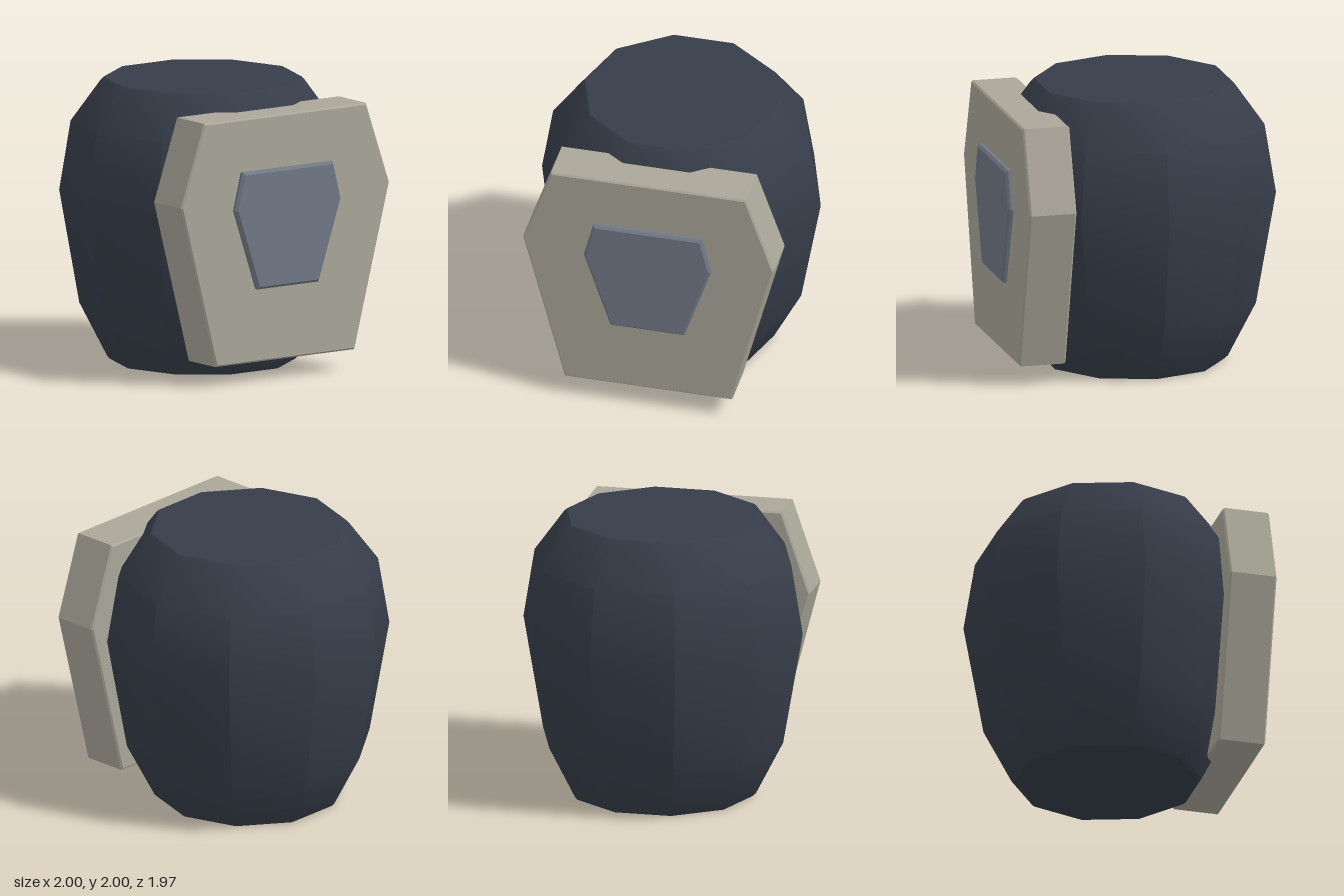
import * as THREE from 'three';
import { toCreasedNormals } from 'three/addons/utils/BufferGeometryUtils.js';

const paint = (name, color) => {
  const m = new THREE.MeshStandardMaterial({ color });
  m.name = name;
  return m;
};

// Bevelled slab with a mirrored outline; half lists [x, y] from top to bottom
function slab(name, half, zBack, zFront, bevel, material) {
  const right = half.map(([x, y]) => new THREE.Vector2(x, y));
  const left = half.map(([x, y]) => new THREE.Vector2(-x, y)).reverse();
  const geometry = new THREE.ExtrudeGeometry(new THREE.Shape([...right, ...left]), {
    depth: zFront - zBack - 2 * bevel,
    bevelThickness: bevel,
    bevelSize: bevel,
    bevelOffset: -bevel,
    bevelSegments: 1,
  });
  geometry.translate(0, 0, zBack + bevel);
  const mesh = new THREE.Mesh(geometry, material);
  mesh.name = name;
  return mesh;
}

export function createModel() {
  const group = new THREE.Group();
  group.name = 'model';
  const dark = paint('dark slate', 0x363d49);
  const stone = paint('warm grey', 0xaaa699);
  const blueGrey = paint('blue grey', 0x717986);

  // Ten-sided barrel, soft between rings and crisp between columns
  const profile = [
    [0, 0], [0.645, 0], [0.665, 0.02], [0.86, 0.4], [1, 1.2],
    [0.92, 1.69], [0.71, 1.98], [0.69, 2], [0, 2],
  ].map(([r, y]) => new THREE.Vector2(r, y));
  const barrel = new THREE.LatheGeometry(profile, 10, Math.PI / 2);
  const body = new THREE.Mesh(toCreasedNormals(barrel, THREE.MathUtils.degToRad(32)), dark);
  body.name = 'body';
  body.position.z = -0.038;
  group.add(body);

  // Six-sided front plate and the smaller panel on it
  group.add(slab('frontPlate', [[0.7, 1.88], [0.9, 1.3], [0.6, 0.145]], 0.605, 0.943, 0.012, stone));
  group.add(slab('frontPanel', [[0.39, 1.505], [0.457, 1.24], [0.265, 0.665]], 0.9, 0.983, 0.018, blueGrey));
  return group;
}
